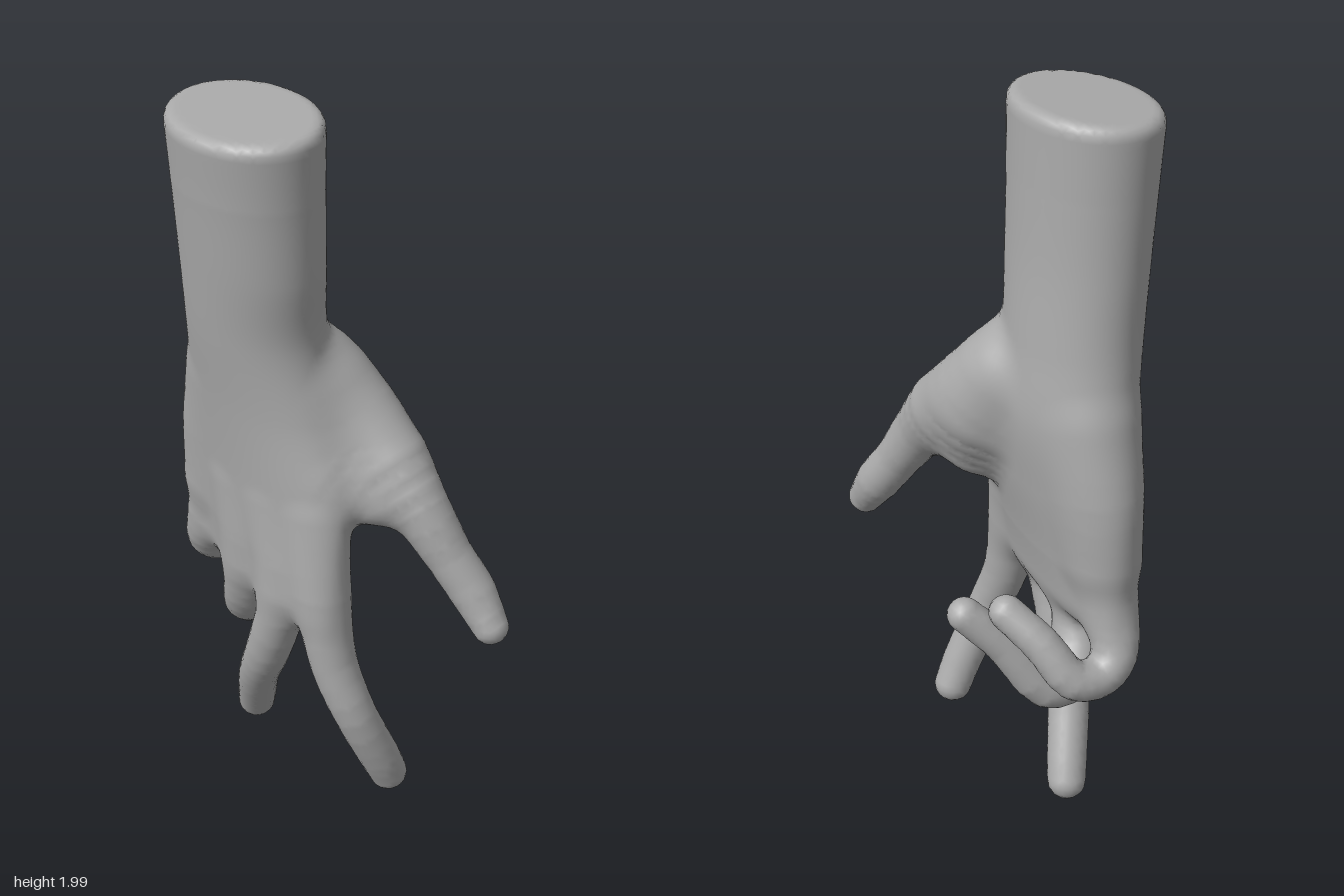
import * as THREE from 'three';

const skin = new THREE.MeshStandardMaterial({ color: 0xaaaaaa });
skin.name = 'grey skin';

// Forearm and palm cross-sections: y, centre x, centre z, half width, half depth, tilt
const SECTIONS = [
  [0.5, -0.165, 0.075, 0.30, 0.075, 0.22],
  [0.65, -0.165, 0.075, 0.305, 0.085, 0.22],
  [0.8, -0.165, 0.07, 0.31, 0.105, 0.2],
  [1.0, -0.168, 0.058, 0.305, 0.13, 0.15],
  [1.2, -0.178, 0.056, 0.255, 0.152, 0.12],
  [1.4, -0.185, 0.08, 0.215, 0.156, 0.12],
  [1.6, -0.172, 0.103, 0.218, 0.159, 0.12],
  [1.8, -0.165, 0.12, 0.221, 0.166, 0.12],
  [2.1, -0.158, 0.138, 0.228, 0.178, 0.12],
];

// Muscle pads of the palm: x, y, z, radius
const PADS = [
  [[-0.04, 1.23, -0.01, 0.115], [0.01, 1.12, -0.03, 0.12], [0.07, 0.99, -0.015, 0.095]], // base of thumb
  [[-0.32, 1.2, 0.045, 0.09], [-0.365, 1.02, 0.035, 0.09], [-0.39, 0.84, 0.035, 0.08]], // outer heel
  [[0.05, 1.02, 0.03, 0.08], [0.16, 0.965, 0.0, 0.055]], // web of thumb
];

// Digits from inside the palm to the tip: x, y, z, radius
const DIGITS = {
  thumb: [[-0.05, 1.27, -0.01, 0.088], [0.06, 1.165, -0.045, 0.095], [0.158, 1.065, -0.055, 0.098],
    [0.25, 0.96, -0.06, 0.078], [0.335, 0.83, -0.085, 0.063], [0.4, 0.735, -0.108, 0.062], [0.462, 0.65, -0.11, 0.049]],
  indexFinger: [[0.05, 0.92, 0.1, 0.065], [0.08, 0.7, 0.12, 0.074], [0.12, 0.49, 0.122, 0.064],
    [0.177, 0.33, 0.098, 0.058], [0.207, 0.16, 0.03, 0.056], [0.21, 0.083, -0.005, 0.053]],
  middleFinger: [[-0.08, 0.92, 0.11, 0.06], [-0.045, 0.66, 0.133, 0.068], [-0.12, 0.42, 0.12, 0.063],
    [-0.2, 0.27, 0.08, 0.058], [-0.28, 0.11, 0.01, 0.055], [-0.303, 0.062, -0.01, 0.053]],
  ringFinger: [[-0.22, 0.92, 0.09, 0.065], [-0.205, 0.68, 0.097, 0.068], [-0.25, 0.53, 0.065, 0.07],
    [-0.306, 0.428, 0.0, 0.068], [-0.3, 0.426, -0.085, 0.06], [-0.235, 0.57, -0.18, 0.05], [-0.175, 0.668, -0.26, 0.046]],
  littleFinger: [[-0.37, 0.9, 0.035, 0.05], [-0.415, 0.7, 0.035, 0.066], [-0.458, 0.58, 0.01, 0.06],
    [-0.462, 0.537, -0.04, 0.056], [-0.447, 0.55, -0.12, 0.052], [-0.375, 0.645, -0.168, 0.049], [-0.288, 0.718, -0.213, 0.046]],
};

const clamp01 = (t) => Math.min(1, Math.max(0, t));
// Minimum and maximum with a rounded fillet of size k
const smoothMin = (a, b, k) => {
  const h = Math.max(k - Math.abs(a - b), 0) / k;
  return Math.min(a, b) - h * h * k * 0.25;
};
const smoothMax = (a, b, k) => -smoothMin(-a, -b, k);

// Smoothly interpolated section at height y
function sectionAt(y) {
  let i = 0;
  while (i < SECTIONS.length - 2 && SECTIONS[i + 1][0] < y) i++;
  const s = [i - 1, i, i + 1, i + 2].map((j) => SECTIONS[Math.min(SECTIONS.length - 1, Math.max(0, j))]);
  const t = clamp01((y - s[1][0]) / (s[2][0] - s[1][0]));
  const mix = (n) => s[1][n] + 0.5 * t * (s[2][n] - s[0][n]
    + t * (2 * s[0][n] - 5 * s[1][n] + 4 * s[2][n] - s[3][n] + t * (3 * (s[1][n] - s[2][n]) + s[3][n] - s[0][n])));
  return [1, 2, 3, 4, 5].map(mix);
}
const sectionCache = new Map();

// Distance to a tapered, curved limb
function makeLimb(points) {
  const curve = new THREE.CatmullRomCurve3(points.map((p) => new THREE.Vector3(p[0], p[1], p[2])));
  const n = (points.length - 1) * 3;
  const path = curve.getPoints(n).map((p, i) => {
    const j = Math.min(points.length - 2, Math.floor(i / 3));
    return [p.x, p.y, p.z, THREE.MathUtils.lerp(points[j][3], points[j + 1][3], i / 3 - j)];
  });
  return (x, y, z) => {
    let best = 9;
    for (let i = 0; i < n; i++) {
      const a = path[i], b = path[i + 1];
      const dx = b[0] - a[0], dy = b[1] - a[1], dz = b[2] - a[2];
      const px = x - a[0], py = y - a[1], pz = z - a[2];
      const t = clamp01((px * dx + py * dy + pz * dz) / (dx * dx + dy * dy + dz * dz));
      best = Math.min(best, Math.hypot(px - t * dx, py - t * dy, pz - t * dz) - a[3] - t * (b[3] - a[3]));
    }
    return best;
  };
}

const names = Object.keys(DIGITS);
const digits = names.map((name) => makeLimb(DIGITS[name]));
const pads = PADS.map(makeLimb);

// Distance to the forearm and palm: tilted ellipses with pads, cut at wrist stump and knuckles
function armDistance(x, y, z) {
  if (!sectionCache.has(y)) sectionCache.set(y, sectionAt(y));
  const [cx, cz, rx, rz, tilt] = sectionCache.get(y);
  const c = Math.cos(tilt), s = Math.sin(tilt);
  const u = (x - cx) * c + (z - cz) * s, v = (z - cz) * c - (x - cx) * s;
  const k0 = Math.hypot(u / rx, v / rz), k1 = Math.hypot(u / rx ** 2, v / rz ** 2);
  const side = k0 < 0.05 ? -Math.min(rx, rz) : k0 * (k0 - 1) / k1;
  const top = y - 1.999 + 0.075 * (z + 0.03);
  const arm = smoothMax(smoothMax(side, top, 0.035), 0.59 - y, 0.1);
  return pads.reduce((d, pad) => smoothMin(d, pad(x, y, z), 0.07), arm);
}

// All parts joined with soft webs; the thumb gets the widest blend
function field(x, y, z) {
  let d = armDistance(x, y, z);
  digits.forEach((digit, i) => { d = smoothMin(d, digit(x, y, z), i === 0 ? 0.08 : 0.05); });
  return d;
}

function gradient(p) {
  const e = 0.004;
  return new THREE.Vector3(
    field(p.x + e, p.y, p.z) - field(p.x - e, p.y, p.z),
    field(p.x, p.y + e, p.z) - field(p.x, p.y - e, p.z),
    field(p.x, p.y, p.z + e) - field(p.x, p.y, p.z - e),
  ).divideScalar(2 * e);
}

// Name of the part that a surface point belongs to
function partAt(p) {
  let best = armDistance(p.x, p.y, p.z) - 0.008;
  let name = p.y > 1.38 ? 'forearm' : 'palm';
  digits.forEach((digit, i) => {
    const d = digit(p.x, p.y, p.z);
    if (d < best) { best = d; name = names[i]; }
  });
  return name;
}

export function createModel() {
  const step = 0.018, origin = [-0.6, -0.05, -0.37], size = [67, 117, 42];
  const stride = [1, size[0], size[0] * size[1]];
  const total = stride[2] * size[2];
  const at = (i) => [i % size[0], Math.floor(i / stride[1]) % size[1], Math.floor(i / stride[2])];
  const place = (c) => c.map((v, a) => origin[a] + v * step);
  const values = new Float32Array(total);
  for (let i = 0; i < total; i++) values[i] = field(...place(at(i)));

  // One vertex in each grid cell the skin passes through, pulled onto the skin
  const vertexOf = new Int32Array(total).fill(-1);
  const positions = [], normals = [], owners = [];
  for (let i = 0; i < total; i++) {
    const cell = at(i);
    if (cell.some((v, a) => v >= size[a] - 1)) continue;
    const corner = (k) => i + (k & 1) + ((k >> 1) & 1) * stride[1] + (k >> 2) * stride[2];
    const sum = [0, 0, 0];
    let count = 0;
    for (let k = 0; k < 8; k++) {
      for (let a = 0; a < 3; a++) {
        if (k & (1 << a)) continue;
        const f0 = values[corner(k)], f1 = values[corner(k | (1 << a))];
        if ((f0 < 0) === (f1 < 0)) continue;
        for (let b = 0; b < 3; b++) sum[b] += b === a ? f0 / (f0 - f1) : (k >> b) & 1;
        count++;
      }
    }
    if (!count) continue;
    const p = new THREE.Vector3(...place(cell.map((v, a) => v + sum[a] / count)));
    const g = gradient(p);
    const move = field(p.x, p.y, p.z) / Math.max(g.lengthSq(), 0.3);
    p.addScaledVector(g, -THREE.MathUtils.clamp(move, -step / 2, step / 2));
    vertexOf[i] = owners.length;
    positions.push(p.x, p.y, p.z);
    normals.push(...gradient(p).normalize().toArray());
    owners.push(partAt(p));
  }

  // A quad across every grid edge that crosses the skin, sorted by part
  const faces = {};
  for (let i = 0; i < total; i++) {
    const cell = at(i);
    if (cell.some((v, a) => v < 1 || v >= size[a] - 1)) continue;
    for (let a = 0; a < 3; a++) {
      const inside = values[i] < 0;
      if (inside === (values[i + stride[a]] < 0)) continue;
      const b = stride[(a + 1) % 3], c = stride[(a + 2) % 3];
      const q = [i - b - c, i - c, i, i - b].map((j) => vertexOf[j]);
      if (!inside) q.reverse();
      (faces[owners[q[0]]] ??= []).push(q[0], q[1], q[2], q[0], q[2], q[3]);
    }
  }

  const hand = new THREE.Group();
  hand.name = 'hand';
  for (const [name, index] of Object.entries(faces)) {
    const shared = new THREE.BufferGeometry();
    shared.setAttribute('position', new THREE.Float32BufferAttribute(positions, 3));
    shared.setAttribute('normal', new THREE.Float32BufferAttribute(normals, 3));
    shared.setIndex(index);
    const mesh = new THREE.Mesh(shared.toNonIndexed(), skin);
    mesh.name = name;
    hand.add(mesh);
  }
  return hand;
}
